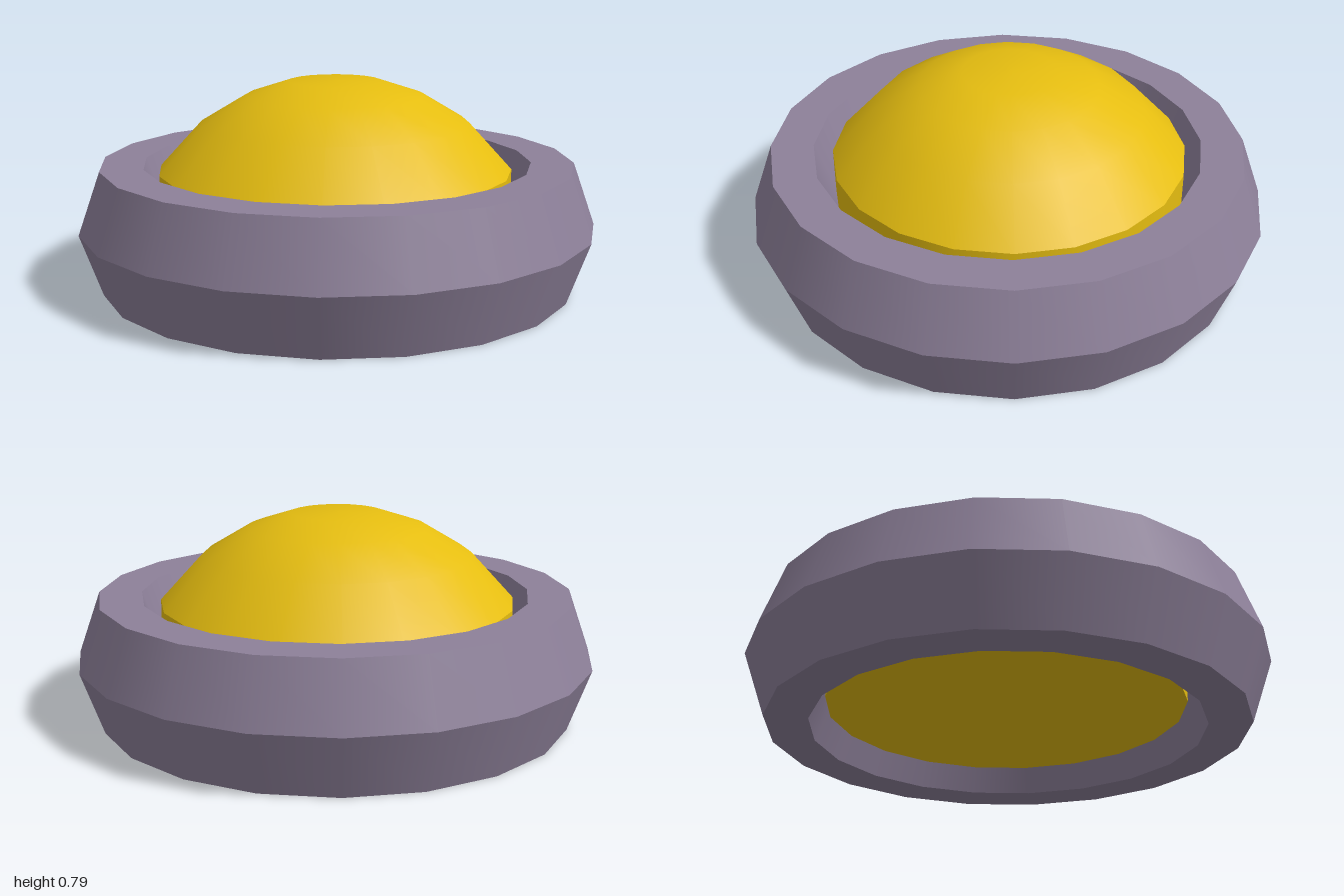
import * as THREE from 'three';
import { mergeGeometries } from 'three/addons/utils/BufferGeometryUtils.js';

const SIDES = 20;

// Revolves each band of profile points separately, so edges between bands stay sharp
function revolve(name, bands, color) {
  const parts = bands.map((band) =>
    new THREE.LatheGeometry(band.map(([r, y]) => new THREE.Vector2(r, y)), SIDES));
  const mesh = new THREE.Mesh(
    mergeGeometries(parts),
    new THREE.MeshStandardMaterial({ color }));
  mesh.name = name;
  return mesh;
}

export function createModel() {
  const group = new THREE.Group();
  group.name = 'domeButton';

  // Six-sided ring section, counterclockwise from the lower inner edge
  const section = [[0.75, 0], [0.915, 0], [1, 0.24], [0.915, 0.48], [0.75, 0.48], [0.665, 0.24]];
  const ringBands = section.map((p, i) => [p, section[(i + 1) % section.length]]);
  group.add(revolve('ring', ringBands, 0x8d8099));

  // Domed cap with straight wall and flat underside
  const dome = revolve('dome', [
    [[0, 0.09], [0.685, 0.09]],
    [[0.685, 0.09], [0.685, 0.45]],
    [[0.685, 0.45], [0.52, 0.63], [0.345, 0.735], [0.18, 0.79], [0, 0.793]],
  ], 0xe5bd10);
  dome.position.set(-0.003, 0, -0.01);
  group.add(dome);

  return group;
}
